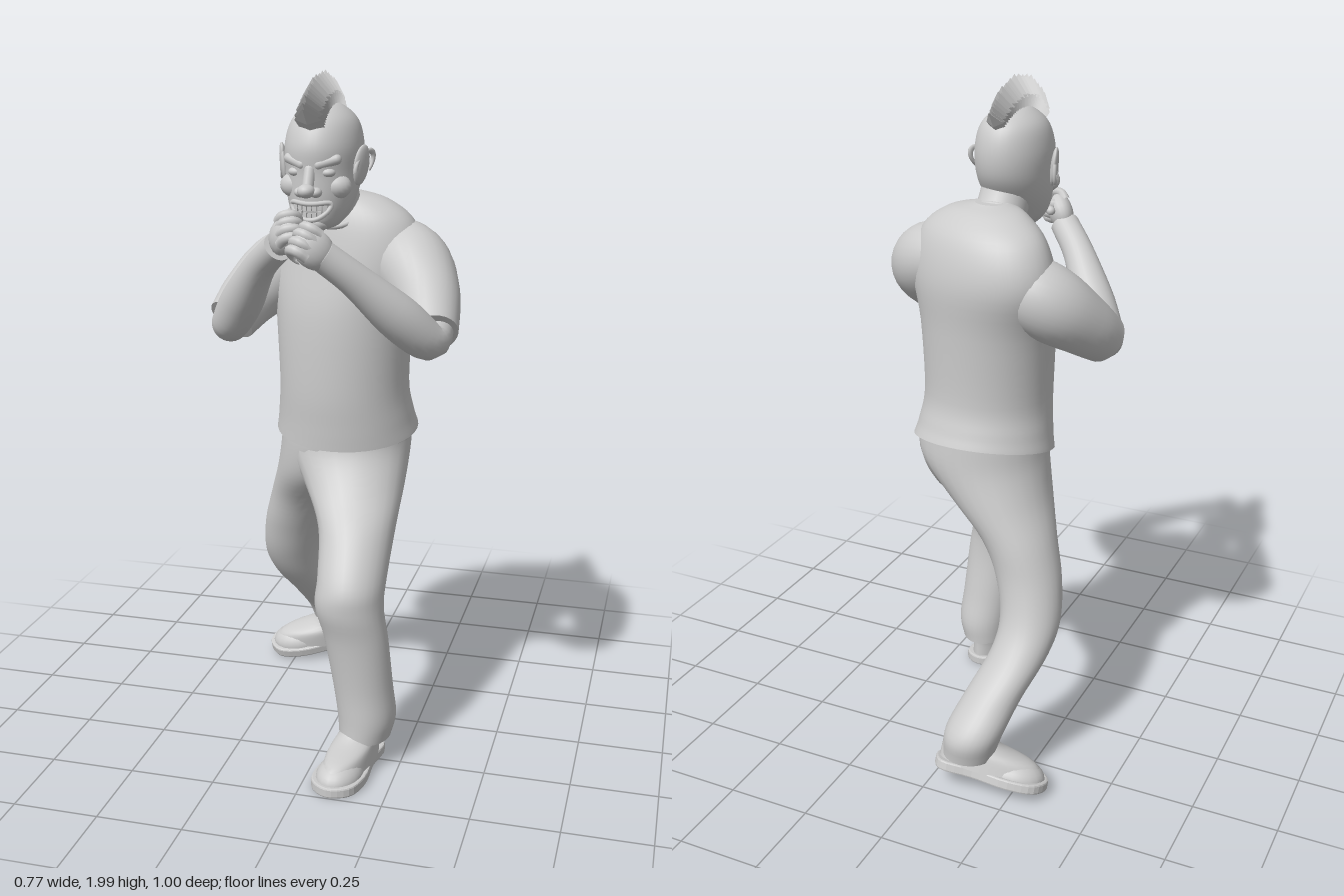
import * as THREE from 'three';

const material = new THREE.MeshStandardMaterial({ color: 0xcccccc });
const hairMaterial = new THREE.MeshStandardMaterial({ color: 0xcccccc, flatShading: true });
const V = (x, y, z) => new THREE.Vector3(x, y, z);

function add(parent, name, geometry, pos = [0, 0, 0], scale = [1, 1, 1], rot = [0, 0, 0], mat = material) {
  const mesh = new THREE.Mesh(geometry, mat);
  mesh.name = name;
  mesh.position.set(...pos);
  mesh.scale.set(...scale);
  mesh.rotation.set(...rot);
  parent.add(mesh);
  return mesh;
}

// Smooth skin over elliptical rings. Row: [x, y, z, radius, depthRadius, yaw].
// Upright lofts keep level rings and run top to bottom; others follow the path.
function loft(parent, name, rows, upright = true, sides = 28) {
  const path = new THREE.CatmullRomCurve3(rows.map(r => V(r[0], r[1], r[2])), false, 'catmullrom', 0.5);
  const size = new THREE.CatmullRomCurve3(rows.map(r => V(r[3], r[4] ?? r[3], r[5] ?? 0)), false, 'catmullrom', 0.5);
  const steps = (rows.length - 1) * 5, pos = [], idx = [];
  const ring = t => {
    const c = path.getPoint(t), s = size.getPoint(t);
    let u = V(Math.cos(s.z), 0, -Math.sin(s.z)), v = V(Math.sin(s.z), 0, Math.cos(s.z));
    if (!upright) {
      const T = path.getTangent(t);
      u = V(0, 1, 0).cross(T).normalize();
      v = T.clone().cross(u);
    }
    for (let j = 0; j < sides; j++) {
      const a = j / sides * Math.PI * 2;
      const p = c.clone().addScaledVector(u, Math.cos(a) * s.x).addScaledVector(v, Math.sin(a) * s.y);
      pos.push(p.x, p.y, p.z);
    }
    return c;
  };
  for (let i = 0; i <= steps; i++) ring(i / steps);
  for (let i = 0; i < steps; i++) for (let j = 0; j < sides; j++) {
    const a = i * sides + j, b = i * sides + (j + 1) % sides;
    idx.push(a, b, b + sides, a, b + sides, a + sides);
  }
  // End caps use their own ring so the edge stays sharp
  for (const t of [0, 1]) {
    const base = pos.length / 3, c = ring(t);
    pos.push(c.x, c.y, c.z);
    for (let j = 0; j < sides; j++) {
      const a = base + j, b = base + (j + 1) % sides;
      idx.push(base + sides, t ? a : b, t ? b : a);
    }
  }
  const g = new THREE.BufferGeometry();
  g.setAttribute('position', new THREE.Float32BufferAttribute(pos, 3));
  g.setIndex(idx);
  g.computeVertexNormals();
  return add(parent, name, g);
}

// Shoe: heel at the local origin, toe along +z
function shoe(parent, name, pos, rot) {
  const g = new THREE.Group();
  g.name = name;
  const half = [[0.045, 0.025], [0.05, 0.12], [0.07, 0.23], [0.055, 0.305]];
  const outline = [[0, 0.004], ...half, [0, 0.334], ...half.map(p => [-p[0], p[1]]).reverse()];
  const curve = new THREE.CatmullRomCurve3(outline.map(p => V(p[0], p[1], 0)), true);
  const sole = new THREE.ExtrudeGeometry(new THREE.Shape(curve.getPoints(40)),
    { depth: 0.02, bevelSize: 0.005, bevelThickness: 0.005, bevelSegments: 2 });
  sole.rotateX(Math.PI / 2);
  add(g, 'sole', sole, [0, 0.025, 0]);
  loft(g, 'shoeUpper', [[0, 0.15, 0.08, 0.048, 0.06], [0, 0.1, 0.095, 0.054, 0.085],
    [0, 0.07, 0.15, 0.06, 0.14], [0, 0.025, 0.168, 0.064, 0.16]]);
  add(g, 'toeCap', new THREE.SphereGeometry(1, 20, 10, 0, Math.PI * 2, 0, Math.PI / 2), [0, 0.024, 0.24], [0.066, 0.052, 0.088]);
  g.rotation.order = 'YXZ';
  g.rotation.set(...rot);
  g.position.set(...pos);
  parent.add(g);
}

// Fist: wrist at local -y, curled fingers on the +z palm side
function fist(parent, name, pos, dir, palm, side) {
  const g = new THREE.Group();
  g.name = name;
  const y = V(...dir).normalize(), x = y.clone().cross(V(...palm)).normalize(), z = x.clone().cross(y);
  g.quaternion.setFromRotationMatrix(new THREE.Matrix4().makeBasis(x, y, z));
  g.position.set(...pos);
  add(g, 'palm', new THREE.SphereGeometry(1, 18, 14), [0, -0.004, 0], [0.052, 0.06, 0.036]);
  for (let i = 0; i < 4; i++) {
    const cx = (i - 1.5) * 0.024, s = 1 - 0.07 * Math.abs(i - 1.3);
    const finger = new THREE.CatmullRomCurve3([[0.005, -0.02], [0.038, -0.016], [0.052, 0.01],
      [0.036, 0.034], [0.01, 0.036], [0.002, 0.02]].map(p => V(cx, p[0] * s, p[1] * s)));
    add(g, 'finger', new THREE.TubeGeometry(finger, 14, 0.0145, 8));
  }
  add(g, 'thumb', new THREE.CapsuleGeometry(0.0135, 0.04, 5, 10), [side * 0.028, -0.004, 0.036], [1, 1, 1], [0, 0, side * 0.7]);
  parent.add(g);
}

function buildHead(parent) {
  const head = new THREE.Group();
  head.name = 'head';
  head.position.x = -0.012;
  head.rotation.y = -0.06;
  parent.add(head);
  const ball = new THREE.SphereGeometry(1, 20, 14);
  loft(head, 'skull', [[0, 1.908, 0.095, 0.005, 0.005], [0, 1.895, 0.095, 0.048, 0.062], [0, 1.855, 0.096, 0.09, 0.113],
    [0, 1.79, 0.1, 0.107, 0.137], [0, 1.72, 0.102, 0.105, 0.131], [0, 1.66, 0.12, 0.097, 0.112],
    [0, 1.61, 0.14, 0.08, 0.084], [0, 1.575, 0.15, 0.054, 0.06], [0, 1.56, 0.155, 0.012, 0.012]], true, 36);
  add(head, 'chin', ball, [0, 1.583, 0.19], [0.04, 0.026, 0.032]);

  // Nose and the paired features
  add(head, 'noseBridge', new THREE.CapsuleGeometry(0.016, 0.055, 6, 12), [0, 1.706, 0.236], [1, 1, 1], [-0.4, 0, 0]);
  add(head, 'noseTip', ball, [0, 1.678, 0.257], [0.024, 0.019, 0.025]);
  for (const s of [-1, 1]) {
    add(head, 'nostril', ball, [s * 0.022, 1.673, 0.24], [0.017, 0.014, 0.02]);
    add(head, 'brow', new THREE.CapsuleGeometry(0.015, 0.05, 6, 12), [s * 0.045, 1.752, 0.211], [1, 1, 1], [0, s * 0.42, s * (Math.PI / 2 + 0.28)]);
    add(head, 'eye', ball, [s * 0.045, 1.724, 0.209], [0.022, 0.013, 0.018]);
    add(head, 'cheek', ball, [s * 0.056, 1.684, 0.177], [0.046, 0.036, 0.036]);
    add(head, 'ear', ball, [s * 0.113, 1.738, 0.122], [0.011, 0.056, 0.032], [-0.12, s * -0.35, s * -0.15]);
    add(head, 'earRim', new THREE.TorusGeometry(0.028, 0.006, 8, 24, Math.PI * 1.4), [s * 0.12, 1.742, 0.115],
      [0.9, 1.6, 1], [0, s * Math.PI / 2 - 0.35 * s, s < 0 ? Math.PI * 0.9 : -Math.PI * 0.3]);
  }

  // Wide open grin wrapped around the jaw, with two rows of teeth
  const faceZ = x => 0.148 + 0.083 * Math.sqrt(1 - (x / 0.088) ** 2);
  const lips = [];
  for (let i = 0; i < 20; i++) {
    const a = i / 20 * Math.PI * 2, x = 0.057 * Math.cos(a);
    lips.push(V(x, 1.618 + 0.022 * Math.sin(a) + 6 * x * x, faceZ(x)));
  }
  add(head, 'lips', new THREE.TubeGeometry(new THREE.CatmullRomCurve3(lips, true), 48, 0.007, 8, true));
  for (let i = -3; i <= 3; i++) for (const row of [-1, 1]) {
    const x = i * 0.0135;
    add(head, 'tooth', new THREE.BoxGeometry(0.011, 0.014, 0.01),
      [x, 1.618 + row * 0.011 * (1 - Math.abs(i) * 0.12) + 6 * x * x, faceZ(x) - 0.003], [1, 1, 1], [0, x * 9, 0]);
  }

  // Spiked crest: a dense fan of flat diamond blades across the skull
  const blade = new THREE.LatheGeometry([[0, 0], [0.9, 0.02], [1, 0.55], [0.001, 1]].map(p => new THREE.Vector2(...p)), 4);
  const crest = new THREE.Group();
  crest.name = 'mohawk';
  for (let i = 0; i < 32; i++) {
    const t = i / 31, a = 0.6 + t * 1.83, r = 0.1;
    const length = 0.125 - 0.024 * t + (i % 2 ? 0.004 : -0.004) + 0.003 * Math.sin(i * 2.3);
    add(crest, 'spike', blade, [0, 1.77 + r * Math.sin(a), 0.1 + r * Math.cos(a)],
      [0.039 - 0.013 * t ** 4, length, 0.015], [Math.PI / 2 - a, 0, 0], hairMaterial);
  }
  head.add(crest);
}

export function createModel() {
  const model = new THREE.Group();
  model.name = 'fighter';
  buildHead(model);
  loft(model, 'neck', [[0, 1.56, 0, 0.076], [-0.005, 1.63, 0.045, 0.073], [-0.012, 1.7, 0.085, 0.076]], false);
  add(model, 'collar', new THREE.TorusGeometry(0.078, 0.008, 8, 32), [-0.003, 1.605, 0.037], [1, 1, 1], [Math.PI / 2 + 0.6, 0, 0]);

  // Shirt body, turned so the left shoulder leads
  const shirt = loft(model, 'shirt', [[0, 1.652, -0.015, 0.05, 0.045, -0.3], [0.012, 1.627, -0.028, 0.135, 0.088, -0.33],
    [0.014, 1.565, -0.045, 0.215, 0.13, -0.36], [0.01, 1.45, -0.05, 0.247, 0.157, -0.36], [0.005, 1.3, -0.033, 0.212, 0.168, -0.26],
    [0.005, 1.1, -0.028, 0.195, 0.17, -0.12], [0.008, 1.0, -0.04, 0.204, 0.176, -0.06], [0.01, 0.945, -0.05, 0.214, 0.181, 0]], true, 40);
  // The hem hangs lower at the front than at the back
  const p = shirt.geometry.attributes.position;
  for (let i = 0; i < p.count; i++) {
    const drop = Math.max(0, (1.1 - p.getY(i)) / 0.155);
    p.setY(i, p.getY(i) - drop * 0.2 * (p.getZ(i) + 0.05));
  }
  shirt.geometry.computeVertexNormals();

  // Sleeves slope out of the shoulders; forearms and raised fists
  loft(model, 'leftSleeve', [[0.06, 1.49, -0.05, 0.06], [0.14, 1.48, -0.035, 0.1], [0.215, 1.445, 0.022, 0.115],
    [0.278, 1.38, 0.115, 0.095], [0.316, 1.3, 0.225, 0.073]], false);
  loft(model, 'rightSleeve', [[-0.06, 1.46, -0.075, 0.06], [-0.14, 1.438, -0.09, 0.1], [-0.212, 1.395, -0.073, 0.107],
    [-0.276, 1.33, -0.008, 0.09], [-0.313, 1.27, 0.065, 0.073]], false);
  loft(model, 'leftForearm', [[0.322, 1.33, 0.19, 0.05], [0.312, 1.287, 0.248, 0.055], [0.24, 1.36, 0.31, 0.062],
    [0.14, 1.465, 0.375, 0.046], [0.06, 1.535, 0.415, 0.042]], false);
  loft(model, 'rightForearm', [[-0.31, 1.3, 0.03, 0.05], [-0.31, 1.265, 0.085, 0.055], [-0.255, 1.345, 0.135, 0.062],
    [-0.175, 1.46, 0.215, 0.046], [-0.1, 1.53, 0.28, 0.042]], false);
  fist(model, 'leftFist', [0.04, 1.555, 0.433], [-0.6, 0.55, 0.35], [-0.6, -0.2, -0.7], -1);
  fist(model, 'rightFist', [-0.078, 1.565, 0.295], [0.55, 0.6, 0.5], [0.6, -0.2, -0.5], 1);

  // Trousers: both legs start as the full pelvis and part into a long stride
  loft(model, 'leftTrouserLeg', [[0.01, 0.99, -0.05, 0.195, 0.165], [0.013, 0.9, -0.045, 0.192, 0.165], [0.05, 0.8, 0.025, 0.153, 0.155],
    [0.087, 0.7, 0.135, 0.114, 0.138], [0.1, 0.58, 0.245, 0.1, 0.113], [0.1, 0.5, 0.28, 0.1, 0.09], [0.12, 0.4, 0.277, 0.094, 0.076],
    [0.137, 0.25, 0.26, 0.088, 0.08], [0.147, 0.15, 0.25, 0.086, 0.09], [0.142, 0.085, 0.25, 0.076, 0.09]]);
  loft(model, 'rightTrouserLeg', [[0.01, 0.99, -0.05, 0.195, 0.165], [0.003, 0.9, -0.053, 0.195, 0.17], [-0.058, 0.8, -0.078, 0.155, 0.155],
    [-0.14, 0.69, -0.127, 0.112, 0.114], [-0.187, 0.58, -0.16, 0.098, 0.094], [-0.21, 0.47, -0.2, 0.09, 0.088],
    [-0.2, 0.38, -0.255, 0.085, 0.09], [-0.16, 0.28, -0.34, 0.084, 0.09], [-0.13, 0.19, -0.412, 0.086, 0.086], [-0.115, 0.11, -0.425, 0.076, 0.068]]);
  shoe(model, 'leftShoe', [0.145, 0, 0.165], [0, -0.17, 0]);
  shoe(model, 'rightShoe', [-0.015, 0.06, -0.445], [0.14, -1.36, -0.25]);
  return model;
}
